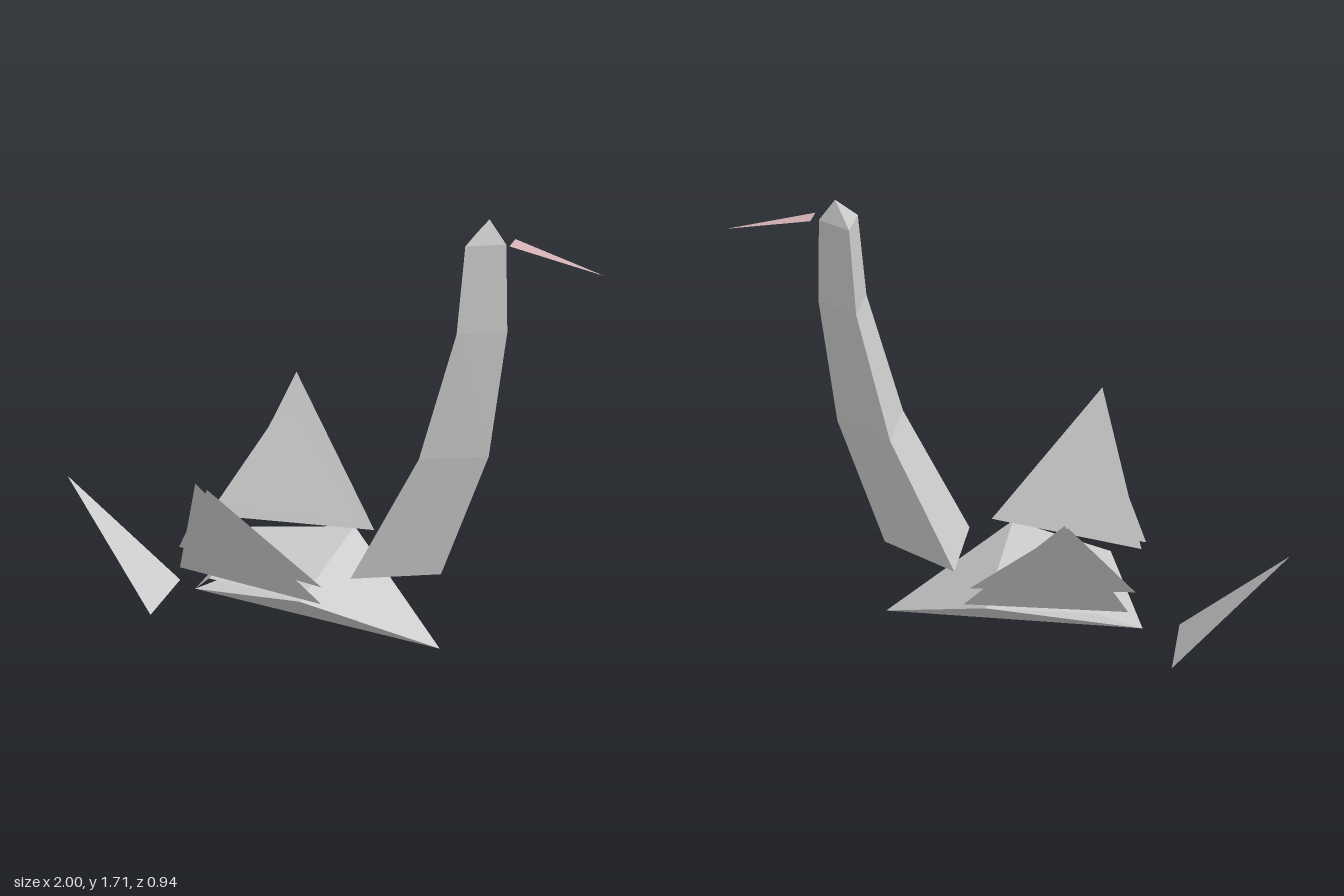
import * as THREE from 'three';

const paper = new THREE.MeshStandardMaterial({ color: 0xcccccc, flatShading: true, side: THREE.DoubleSide });
const pink = new THREE.MeshStandardMaterial({ color: 0xd4b0b4, flatShading: true, side: THREE.DoubleSide });

// Folded sheet: each facet is a list of corner points, counter-clockwise from outside
function sheet(name, facets, material = paper) {
  const positions = [];
  for (const f of facets) {
    for (let i = 1; i < f.length - 1; i++) positions.push(...f[0], ...f[i], ...f[i + 1]);
  }
  const geometry = new THREE.BufferGeometry();
  geometry.setAttribute('position', new THREE.Float32BufferAttribute(positions, 3));
  geometry.computeVertexNormals();
  const mesh = new THREE.Mesh(geometry, material);
  mesh.name = name;
  return mesh;
}

// Mirrors a facet across z = 0 and keeps it facing outward
const mirror = (facet) => facet.map(([x, y, z]) => [x, y, -z]).reverse();

function createBody() {
  const bow = [0.485, 0.025, 0], stern = [-0.485, 0.065, 0];
  const shoulder = [0.05, 0.295, 0.285], shoulderR = [0.05, 0.295, -0.285];
  const hip = [-0.335, 0.258, 0.2], hipR = [-0.335, 0.258, -0.2];
  const side = [stern, bow, shoulder];
  return sheet('body', [
    side, mirror(side),
    [bow, shoulderR, shoulder],
    [hip, shoulder, shoulderR, hipR],
    [stern, hip, hipR],
  ]);
}

function createNeck() {
  // Height, back x, front x, half width of the triangular sections
  const rings = [
    [0.34, 0.19, 0.48, 0.145],
    [0.845, 0.42, 0.637, 0.106],
    [1.32, 0.53, 0.682, 0.076],
    [1.63, 0.545, 0.665, 0.062],
  ].map(([y, back, front, w]) => [[front, y, 0], [back, y, -w], [back, y, w]]);
  const crown = [0.605, 1.71, 0];
  const facets = [];
  rings.forEach((ring, i) => {
    const next = rings[i + 1];
    for (let a = 0; a < 3; a++) {
      const b = (a + 1) % 3;
      // Open at the bottom, closed by a small pyramid at the crown
      facets.push(next ? [ring[b], ring[a], next[a], next[b]] : [ring[b], ring[a], crown]);
    }
  });
  return sheet('neck', facets);
}

export function createModel() {
  const model = new THREE.Group();
  model.name = 'foldedPaperBird';
  model.add(createBody(), createNeck());

  // Two layered wing triangles on each side
  const outer = [[-0.45, 0.28, 0.2], [0.13, 0.298, 0.278], [-0.255, 0.803, 0.468]];
  const inner = [[-0.47, 0.34, 0.16], [0.115, 0.34, 0.236], [-0.255, 0.73, 0.373]];
  for (const [name, wing] of [['outerWing', outer], ['innerWing', inner]]) {
    model.add(sheet(name + 'Front', [wing]), sheet(name + 'Back', [mirror(wing)]));
  }

  model.add(sheet('tail', [[[-0.61, 0, 0.135], [-0.61, 0, -0.135], [-1, 0.45, 0]]]));
  model.add(sheet('beak', [[[0.685, 1.64, -0.034], [0.685, 1.64, 0.034], [0.995, 1.57, 0]]], pink));
  return model;
}
